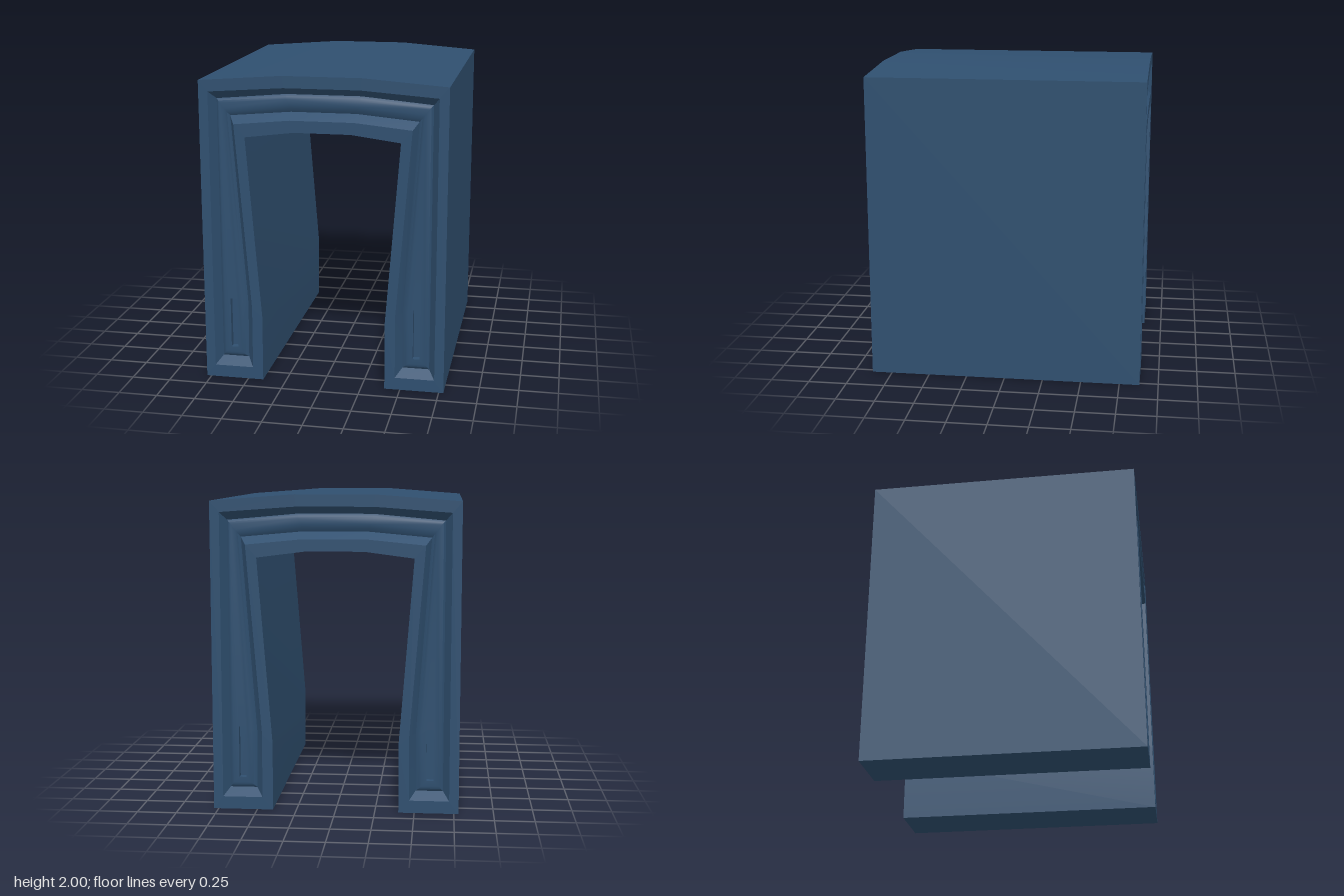
import * as THREE from 'three';
import { mergeGeometries, toCreasedNormals } from 'three/addons/utils/BufferGeometryUtils.js';

const material = new THREE.MeshStandardMaterial({ color: 0x2f4f6f });
const FRONT = 0.88;

// Arch cross-sections, right half only: foot, outer side, crown, inner crown, knee
const bodyHalf = [[0.4, 0], [0.78, 0], [0.78, 1.96], [0.25, 2], [0.18, 1.65], [0.49, 1.61], [0.398, 0.43]];
const rimHalf = [[0.467, 0.08], [0.72, 0.08], [0.72, 1.89], [0.24, 1.925], [0.2, 1.725], [0.56, 1.69], [0.465, 0.49]];
const grooveHalf = [[0.508, 0.13], [0.68, 0.13], [0.68, 1.84], [0.235, 1.88], [0.205, 1.77], [0.595, 1.735], [0.505, 0.5]];
const panelHalf = [[0.545, 0.165], [0.655, 0.165], [0.655, 1.815], [0.23, 1.85], [0.21, 1.815], [0.63, 1.78], [0.54, 0.5]];

// Full counter-clockwise loop from one half
function mirrorLoop(half) {
  const left = [3, 2, 1, 0, 6, 5, 4].map(i => [-half[i][0], half[i][1]]);
  return [...half.slice(0, 4), ...left, ...half.slice(4)];
}

function blend(a, b, t) {
  return a.map((p, i) => [p[0] + (b[i][0] - p[0]) * t, p[1] + (b[i][1] - p[1]) * t]);
}

// Band of quads between two loops at depths za and zb
function band(a, za, b, zb) {
  const pos = [];
  a.forEach((p, i) => {
    const j = (i + 1) % a.length;
    const p0 = [...p, za], p1 = [...a[j], za], q0 = [...b[i], zb], q1 = [...b[j], zb];
    pos.push(...p0, ...p1, ...q1, ...p0, ...q1, ...q0);
  });
  const g = new THREE.BufferGeometry();
  g.setAttribute('position', new THREE.Float32BufferAttribute(pos, 3));
  g.computeVertexNormals();
  return g;
}

const toPoints = loop => loop.map(([x, y]) => new THREE.Vector2(x, y));

// Flat face filling a loop, with optional holes
function face(loop, z, holes = []) {
  const shape = new THREE.Shape(toPoints(loop));
  shape.holes = holes.map(h => new THREE.Path(toPoints(h)));
  const g = new THREE.ShapeGeometry(shape).toNonIndexed();
  g.deleteAttribute('uv');
  return g.translate(0, 0, z);
}

function part(name, geometries, crease = 0.1) {
  const mesh = new THREE.Mesh(toCreasedNormals(mergeGeometries(geometries), crease), material);
  mesh.name = name;
  return mesh;
}

// One decorated end of the arch
function createEnd(name) {
  const end = new THREE.Group();
  end.name = name;
  const [body, rim, groove, panel] = [bodyHalf, rimHalf, grooveHalf, panelHalf].map(mirrorLoop);
  const zGroove = FRONT - 0.06, zPanel = FRONT - 0.04, zSlot = FRONT - 0.08;
  const slots = [-1, 1].map(s => {
    const x = s * 0.597;
    return [[x - 0.022, 0.2], [x + 0.022, 0.2], [x + 0.022, 0.53], [x - 0.022, 0.53]];
  });

  end.add(part('rim', [band(body, FRONT, rim, FRONT)]));
  end.add(part('recessBevel', [band(rim, FRONT, groove, zGroove)]));

  // Softly raised panel inside the recess
  const mid = blend(groove, panel, 0.5), zMid = zGroove + 0.014;
  end.add(part('raisedPanel', [
    band(groove, zGroove, mid, zMid),
    band(mid, zMid, panel, zPanel),
    face(panel, zPanel, slots),
  ], 0.7));

  // Narrow slot low on each leg
  slots.forEach((slot, i) => end.add(part(i ? 'leftSlot' : 'rightSlot', [
    band(slot, zPanel, slot, zSlot),
    face(slot, zSlot),
  ])));
  return end;
}

export function createModel() {
  const model = new THREE.Group();
  model.name = 'archTunnel';

  // Outer shell, underside of the legs and inner passage
  const body = mirrorLoop(bodyHalf);
  model.add(part('tunnelBody', [band(body, -FRONT, body, FRONT)]));

  const front = createEnd('frontEnd');
  const back = createEnd('backEnd');
  back.rotation.y = Math.PI;
  model.add(front, back);
  return model;
}
